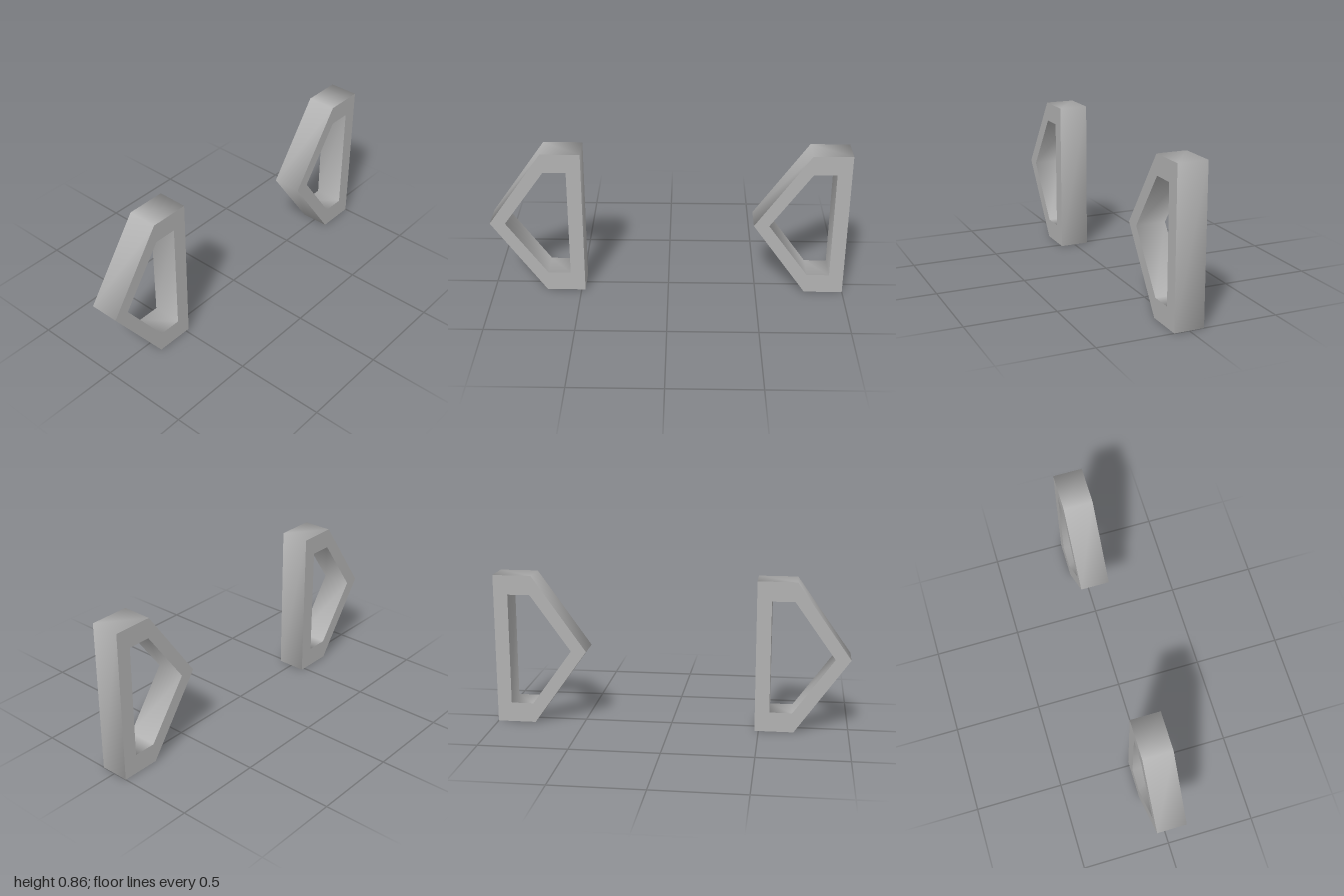
import * as THREE from 'three';
import { mergeVertices, mergeGeometries } from 'three/addons/utils/BufferGeometryUtils.js';

const DEPTH = 0.166;

// Five-sided frame in the xy plane, its tip at x = 0
const OUTER = [[0, 0.428], [0.304, 0], [0.522, 0], [0.522, 0.856], [0.304, 0.856]];
const INNER = [[0.086, 0.428], [0.314, 0.112], [0.441, 0.112], [0.441, 0.746], [0.314, 0.746]];
const points = (list) => list.map(([x, y]) => new THREE.Vector2(x, y));

// Copies one material group of the extrusion as positions only
function extractGroup(geometry, { start, count }) {
  const part = new THREE.BufferGeometry();
  const positions = geometry.attributes.position.array.slice(start * 3, (start + count) * 3);
  part.setAttribute('position', new THREE.BufferAttribute(positions, 3));
  return part;
}

// Flat front and back, with smooth normals running around the rims
function frameGeometry() {
  const shape = new THREE.Shape(points(OUTER));
  shape.holes.push(new THREE.Path(points(INNER)));
  const solid = new THREE.ExtrudeGeometry(shape, { depth: DEPTH, bevelEnabled: false });
  solid.translate(0, 0, -DEPTH / 2);
  const parts = solid.groups.map((group) => {
    const part = mergeVertices(extractGroup(solid, group));
    part.computeVertexNormals();
    return part;
  });
  return mergeGeometries(parts);
}

export function createModel() {
  const model = new THREE.Group();
  model.name = 'framePair';
  const grey = new THREE.MeshStandardMaterial({ color: 0xb2b2b2 });
  grey.name = 'grey';

  // Two identical frames, both pointing to -x
  const geometry = frameGeometry();
  for (const [name, x] of [['rightFrame', -1], ['leftFrame', 0.478]]) {
    const frame = new THREE.Mesh(geometry, grey);
    frame.name = name;
    frame.position.x = x;
    model.add(frame);
  }
  return model;
}
